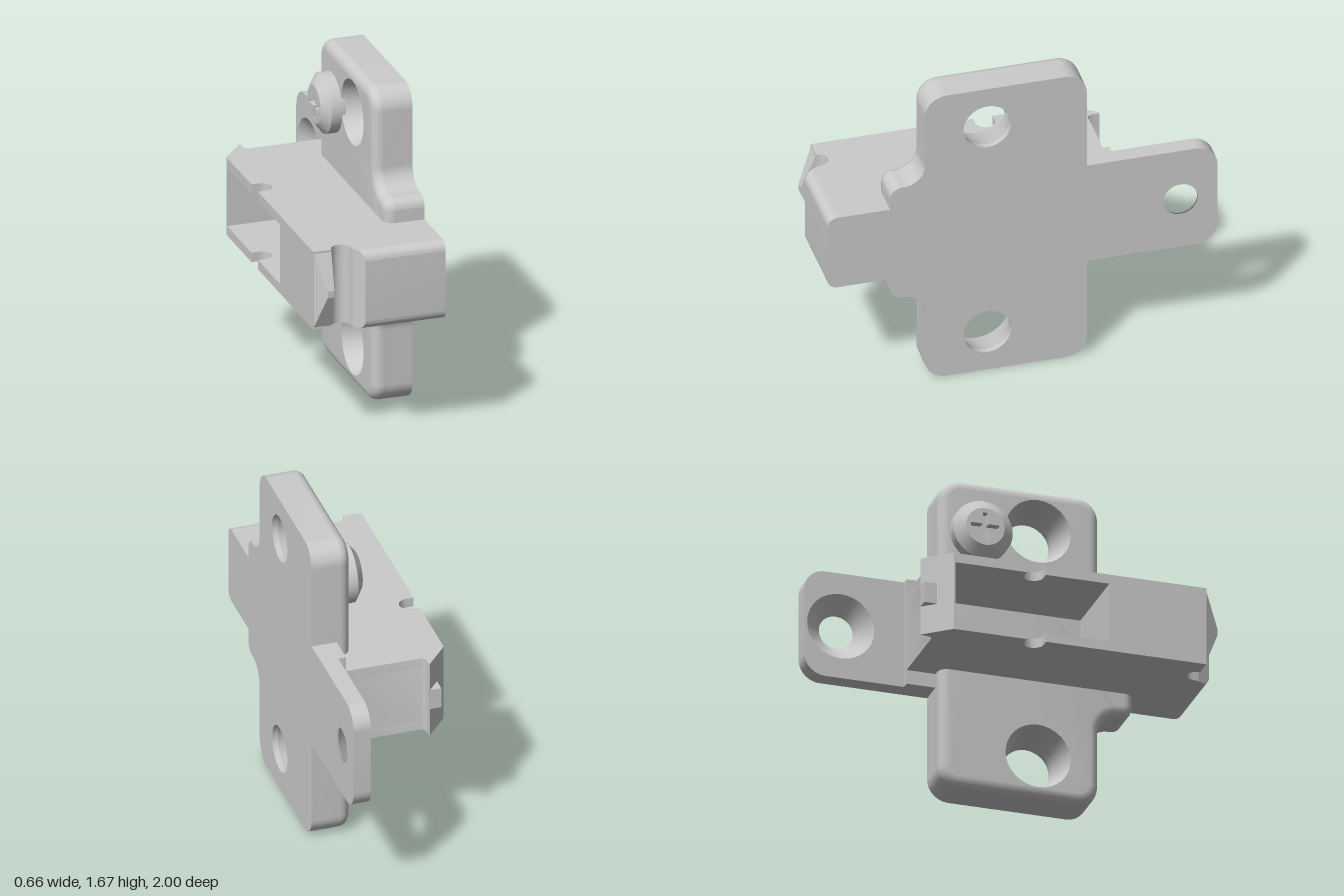
import * as THREE from 'three';
import { toCreasedNormals } from 'three/addons/utils/BufferGeometryUtils.js';
import { ConvexGeometry } from 'three/addons/geometries/ConvexGeometry.js';

const MID = 0.8425;                       // height of the symmetry plane
const BACK = 0.33;                        // flat mounting face (x)
const HOLES = [[0.18, 1.455], [0.18, 0.23]]; // plate holes as [z, y]
const TONGUE_HOLE = [[-0.81, MID]];

// Closed outline from [z, y, radius] corners, drawn in (-z, y)
function outline(corners) {
  const s = new THREE.Shape(), n = corners.length, k = 0.4477;
  const v = corners.map(([z, y]) => new THREE.Vector2(-z, y));
  v.forEach((p, i) => {
    const r = corners[i][2] || 0;
    const a = v[(i + n - 1) % n].clone().sub(p).normalize();
    const b = v[(i + 1) % n].clone().sub(p).normalize();
    const at = (d, t) => p.clone().addScaledVector(d, t);
    const p0 = at(a, r), p1 = at(b, r), c0 = at(a, r * k), c1 = at(b, r * k);
    if (i === 0) s.moveTo(p0.x, p0.y); else s.lineTo(p0.x, p0.y);
    if (r) s.bezierCurveTo(c0.x, c0.y, c1.x, c1.y, p1.x, p1.y);
  });
  s.closePath();
  return s;
}

function drill(shape, centres, r) {
  for (const [z, y] of centres) shape.holes.push(new THREE.Path().absarc(-z, y, r, 0, Math.PI * 2, true));
  return shape;
}

// Extrude a (-z, y) shape from x0 to x1
function alongX(shape, x0, x1) {
  return new THREE.ExtrudeGeometry(shape, { depth: x1 - x0, bevelEnabled: false, curveSegments: 16 })
    .rotateY(Math.PI / 2).translate(x0, 0, 0);
}

// Extrude a list of [x, z] points from y0 to y1
function alongY(points, y0, y1) {
  const s = new THREE.Shape(points.map(([x, z]) => new THREE.Vector2(x, -z)));
  return new THREE.ExtrudeGeometry(s, { depth: y1 - y0, bevelEnabled: false })
    .rotateX(-Math.PI / 2).translate(0, y0, 0);
}

// Points of an arc in the x-z plane
function arc(cx, cz, r, a0, a1, n = 12) {
  return Array.from({ length: n + 1 }, (_, i) => {
    const a = a0 + (a1 - a0) * i / n;
    return [cx + r * Math.cos(a), cz + r * Math.sin(a)];
  });
}

export function createModel() {
  const group = new THREE.Group();
  const mat = new THREE.MeshStandardMaterial({ color: 0xcccccc });
  const inner = new THREE.MeshStandardMaterial({ color: 0xcccccc, side: THREE.DoubleSide });
  const add = (name, geo, m = mat, crease = 0.6) => {
    const mesh = new THREE.Mesh(toCreasedNormals(geo, crease), m);
    mesh.name = name;
    group.add(mesh);
    return mesh;
  };
  // Tapered lining of a countersunk hole
  const countersink = (name, [z, y], x0, r0, x1, r1) =>
    add(name, new THREE.CylinderGeometry(r0, r1, x1 - x0, 32, 1, true)
      .rotateZ(Math.PI / 2).translate((x0 + x1) / 2, y, z), inner);

  // Mounting plate: outline mirrored about the middle height
  const upper = [[-0.33, 1.68, 0.11], [0.5, 1.68, 0.11], [0.5, 1.17, 0.11], [0.68, 1.17, 0.06]];
  const lower = upper.map(([z, y, r]) => [z, 2 * MID - y, r]).reverse();
  const plate = r => drill(outline([...upper, ...lower]), HOLES, r);
  add('plate', alongX(plate(0.17), 0.175, 0.3));
  add('plateBack', alongX(plate(0.122), 0.3, BACK));

  // Rounded rim of the plate, with its hole walls straightened
  const rim = new THREE.ExtrudeGeometry(plate(0.12), {
    depth: 0.02, bevelThickness: 0.05, bevelSize: 0.05, bevelOffset: -0.05, bevelSegments: 5, curveSegments: 16,
  }).rotateY(Math.PI / 2).translate(0.175, 0, 0);
  const pos = rim.attributes.position;
  for (let i = 0; i < pos.count; i++) {
    for (const [z, y] of HOLES) {
      const dz = pos.getZ(i) - z, dy = pos.getY(i) - y, d = Math.hypot(dz, dy);
      if (d < 0.175) {
        pos.setZ(i, z + dz * 0.17 / d);
        pos.setY(i, y + dy * 0.17 / d);
      }
    }
  }
  add('plateRim', rim);
  HOLES.forEach(h => countersink('plateHole', h, 0.125, 0.17, 0.3, 0.122));

  // Rear tongue with a countersunk hole and a thicker root
  const tongue = r => drill(outline([[-0.3, 0.56], [-0.3, 1.13], [-1, 1.13, 0.11], [-1, 0.56, 0.11]]), TONGUE_HOLE, r);
  add('tongue', alongX(tongue(0.175), 0.24, 0.32));
  add('tongueBack', alongX(tongue(0.088), 0.32, BACK));
  countersink('tongueHole', TONGUE_HOLE[0], 0.24, 0.175, 0.32, 0.088);
  add('tongueRoot', new THREE.BoxGeometry(0.13, 0.57, 0.18).translate(0.265, 0.845, -0.39));

  // Arm: two outer walls with a side notch, and a core with a pocket
  const y0 = 0.635, y1 = 1.05, wall = 0.05;
  const profile = side => [
    [BACK, 0.93], [-0.13, 0.93],
    ...arc(-0.185, 0.905, 0.05, 0, -Math.PI),
    [-0.33, 0.905], ...side, [-0.33, -0.41], [-0.215, -0.545], [-0.21, -0.545],
    [-0.21, -0.505], [-0.204, -0.488], [-0.19, -0.48], [BACK, -0.48],
  ];
  const notch = [[-0.33, 0.07], ...arc(-0.29, 0.02, 0.05, Math.PI / 2, -Math.PI / 2), [-0.33, -0.03]];
  const pocket = [[-0.33, 0.4], [0.13, 0.4], [0.13, -0.4], [-0.33, -0.4]];
  add('armBottom', alongY(profile(notch), y0, y0 + wall));
  add('armTop', alongY(profile(notch), y1 - wall, y1));
  add('armCore', alongY(profile(pocket), y0 + wall, y1 - wall));

  // Front end of the arm, rounded in height and slanted on its inner side
  const end = alongX(outline([[0.93, y0], [1, y0, 0.05], [1, y1, 0.05], [0.93, y1]]), -0.13, BACK);
  const ep = end.attributes.position;
  for (let i = 0; i < ep.count; i++) {
    if (ep.getX(i) < 0) ep.setX(i, -0.13 + (ep.getZ(i) - 0.93) * 0.57);
  }
  add('armFrontEnd', end);

  // Pointed front hook
  const V = (x, y, z) => new THREE.Vector3(x, y, z);
  const hook = [];
  for (const [y, tip] of [[y0, 0.825], [y1, 0.86]]) {
    hook.push(V(-0.33, y, 0.9), V(-0.235, y, 0.9), V(-0.28, tip, 0.98), V(-0.245, tip, 0.98));
  }
  add('frontHook', new ConvexGeometry(hook), mat, 0.1);

  // Small catch on the rear lip
  add('rearCatch', new THREE.BoxGeometry(0.063, 0.11, 0.065).translate(-0.2425, MID, -0.5125));

  // Adjusting screw with a cross recess
  const screw = new THREE.Group();
  screw.name = 'screw';
  const head = new THREE.LatheGeometry(
    [[0.155, -0.02], [0.155, 0.055], [0.1, 0.095]].map(p => new THREE.Vector2(...p)), 32).rotateZ(Math.PI / 2);
  const core = new THREE.CylinderGeometry(0.1, 0.1, 0.07, 32).rotateZ(Math.PI / 2).translate(-0.02, 0, 0);
  const face = new THREE.Shape().absarc(0, 0, 0.1, 0, Math.PI * 2, false);
  const a = 0.075, b = 0.014;
  face.holes.push(new THREE.Path([
    [a, b], [b, b], [b, a], [-b, a], [-b, b], [-a, b], [-a, -b], [-b, -b], [-b, -a], [b, -a], [b, -b], [a, -b],
  ].map(p => new THREE.Vector2(...p))));
  screw.add(add('screwHead', head), add('screwCore', core), add('screwFace', alongX(face, -0.095, -0.055)));
  screw.position.set(0.125, 1.395, -0.125);
  group.add(screw);

  return group;
}
